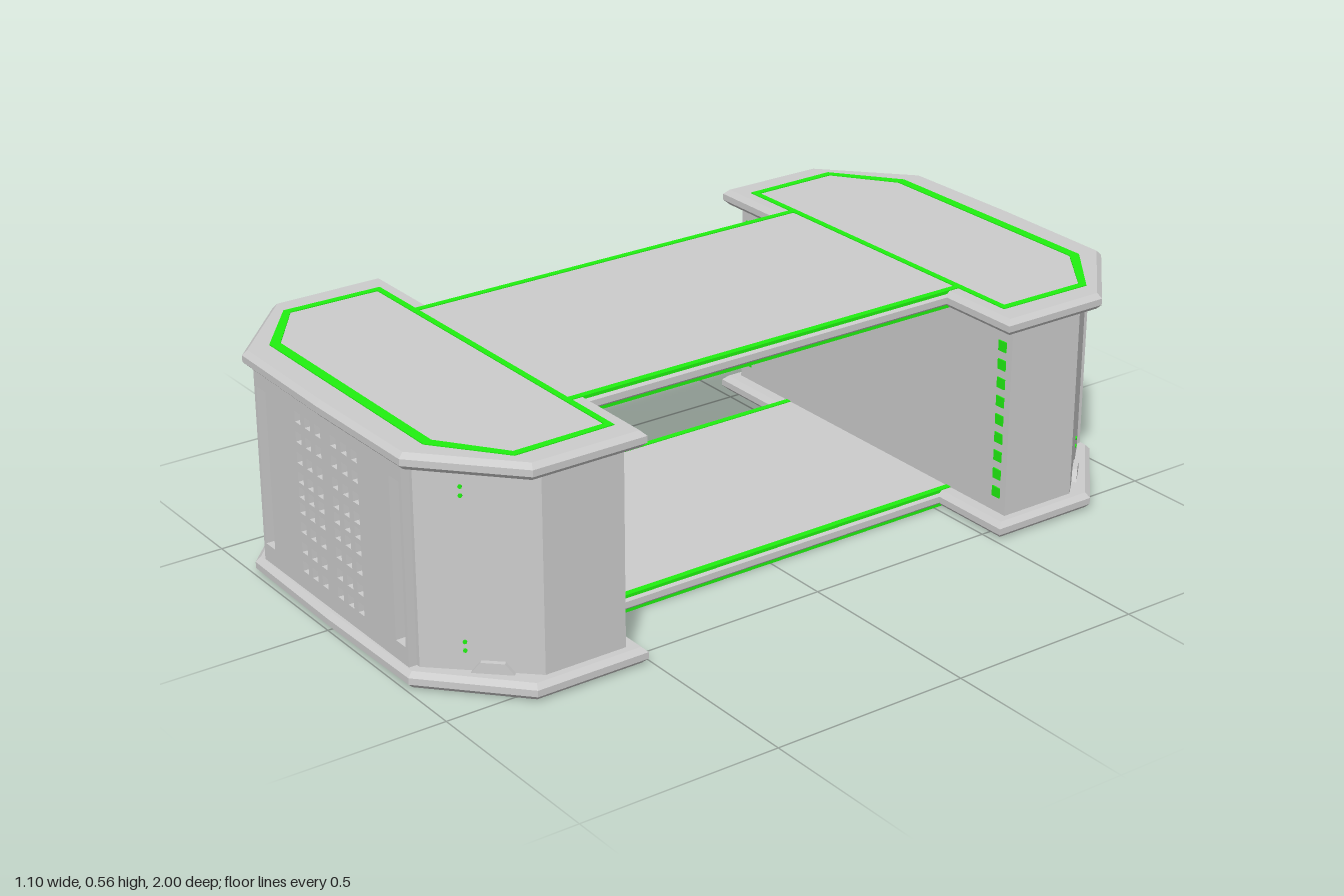
import * as THREE from 'three';

const grey = new THREE.MeshStandardMaterial({ color: 0xcccccc });
const green = new THREE.MeshStandardMaterial({ color: 0x20f010 });

const H = 0.56;          // overall height
const PLATE = 0.04;      // plate thickness

function add(parent, name, geometry, material, x = 0, y = 0, z = 0) {
  const mesh = new THREE.Mesh(geometry, material);
  mesh.name = name;
  mesh.position.set(x, y, z);
  parent.add(mesh);
  return mesh;
}

const points = (list) => list.map(([x, y]) => new THREE.Vector2(x, y));

// Completes half an outline (x > 0) with its mirror image
const mirrored = (half) => points([...half, ...half.map(([x, y]) => [-x, y]).reverse()]);

// Extrudes a floor-plan shape (x, z) upwards from y = 0
function extrudeUp(shape, depth, bevel = 0) {
  const geo = new THREE.ExtrudeGeometry(shape, {
    depth: depth - 2 * bevel, bevelEnabled: bevel > 0, bevelThickness: bevel,
    bevelSize: bevel, bevelOffset: -bevel, bevelSegments: 1,
  });
  geo.translate(0, 0, bevel);
  geo.rotateX(-Math.PI / 2);
  geo.rotateY(Math.PI); // shape y becomes +z
  return geo;
}

function rectHole(x, y, w, h) {
  return new THREE.Path(points([
    [x - w / 2, y - h / 2], [x - w / 2, y + h / 2], [x + w / 2, y + h / 2], [x + w / 2, y - h / 2],
  ]));
}

// I-shaped plate with green inlay lines, outer side up
function createPlate(name) {
  const plate = new THREE.Group();
  plate.name = name;
  const quarter = [[0.33, 0.51], [0.55, 0.51], [0.55, 0.8], [0.34, 0.995]];
  const right = [...quarter.map(([x, z]) => [x, -z]).reverse(), ...quarter];
  const outline = mirrored(right);
  outline.splice(right.length, 0, new THREE.Vector2(0, 1));
  outline.push(new THREE.Vector2(0, -1));
  add(plate, 'plateSlab', extrudeUp(new THREE.Shape(outline), PLATE, 0.012), grey);

  // Outlines of the two end panels
  const frame = new THREE.Shape(mirrored([[0.485, 0.55], [0.49, 0.805], [0.33, 0.93]]));
  frame.holes.push(new THREE.Path(mirrored([[0.468, 0.566], [0.471, 0.797], [0.323, 0.905]])));
  for (const turn of [0, Math.PI]) {
    add(plate, 'endInlay', extrudeUp(frame, 0.004), green, 0, PLATE - 0.002, 0).rotation.y = turn;
  }
  // Strips along the bridge, visible on both of its faces
  for (const s of [-1, 1]) {
    add(plate, 'bridgeInlay', new THREE.BoxGeometry(0.016, PLATE + 0.004, 1.1), green, s * 0.316, PLATE / 2, 0);
  }
  return plate;
}

// Trapezoid clip that sits against a plate
function clipGeometry() {
  return new THREE.ExtrudeGeometry(
    new THREE.Shape(points([[-0.048, 0], [0.048, 0], [0.027, 0.026], [-0.027, 0.026]])),
    { depth: 0.012, bevelEnabled: false });
}

// End block facing +z
function createEndBlock(name) {
  const block = new THREE.Group();
  block.name = name;
  const low = PLATE - 0.005, high = H - low;

  const plan = mirrored([[0.52, 0.55], [0.52, 0.76], [0.33, 0.96], [0.319, 0.96], [0.319, 0.945]]);
  add(block, 'blockBody', extrudeUp(new THREE.Shape(plan), high - low), grey, 0, low, 0);

  // Front panel with vents and two tall slots
  const panel = new THREE.Shape(points([[-0.319, low], [0.319, low], [0.319, high], [-0.319, high]]));
  for (const x of [-0.123, -0.08, -0.035, 0.033, 0.078, 0.122]) {
    for (const y of [0.098, 0.146, 0.197, 0.245, 0.284, 0.321, 0.369, 0.42, 0.469]) {
      panel.holes.push(rectHole(x, y, 0.025, 0.026));
    }
  }
  for (const s of [-1, 1]) panel.holes.push(rectHole(s * 0.288, 0.282, 0.041, 0.395));
  add(block, 'ventPanel', new THREE.ExtrudeGeometry(panel, { depth: 0.035, bevelEnabled: false }),
    grey, 0, 0, 0.945);

  for (const s of [-1, 1]) {
    // Slanted corner: clips and small lights
    const corner = new THREE.Group();
    corner.name = 'cornerDetails';
    corner.position.set(s * 0.425, 0, 0.86);
    corner.rotation.y = s * Math.atan2(0.2, 0.19);
    block.add(corner);
    add(corner, 'lowerClip', clipGeometry(), grey, s * 0.025, PLATE, 0);
    add(corner, 'upperClip', clipGeometry(), grey, s * 0.025, H - PLATE, 0.012).rotation.x = Math.PI;
    for (const y of [0.088, 0.109, 0.457, 0.478]) {
      const dot = new THREE.CylinderGeometry(0.005, 0.005, 0.006, 8).rotateX(Math.PI / 2);
      add(corner, 'cornerLight', dot, green, s * -0.036, y, 0);
    }
    // Column of square lights on the inner face
    for (let i = 0; i < 9; i++) {
      add(block, 'innerLight', new THREE.BoxGeometry(0.026, 0.026, 0.006), green,
        s * 0.488, 0.092 + i * 0.047, 0.55);
    }
  }
  return block;
}

export function createModel() {
  const model = new THREE.Group();
  model.name = 'bridgeStructure';

  const top = createPlate('topPlate');
  top.position.y = H - PLATE;
  const bottom = createPlate('bottomPlate');
  bottom.rotation.x = Math.PI;
  bottom.position.y = PLATE;

  const front = createEndBlock('frontBlock');
  const back = createEndBlock('backBlock');
  back.rotation.y = Math.PI;

  model.add(top, bottom, front, back);
  return model;
}
